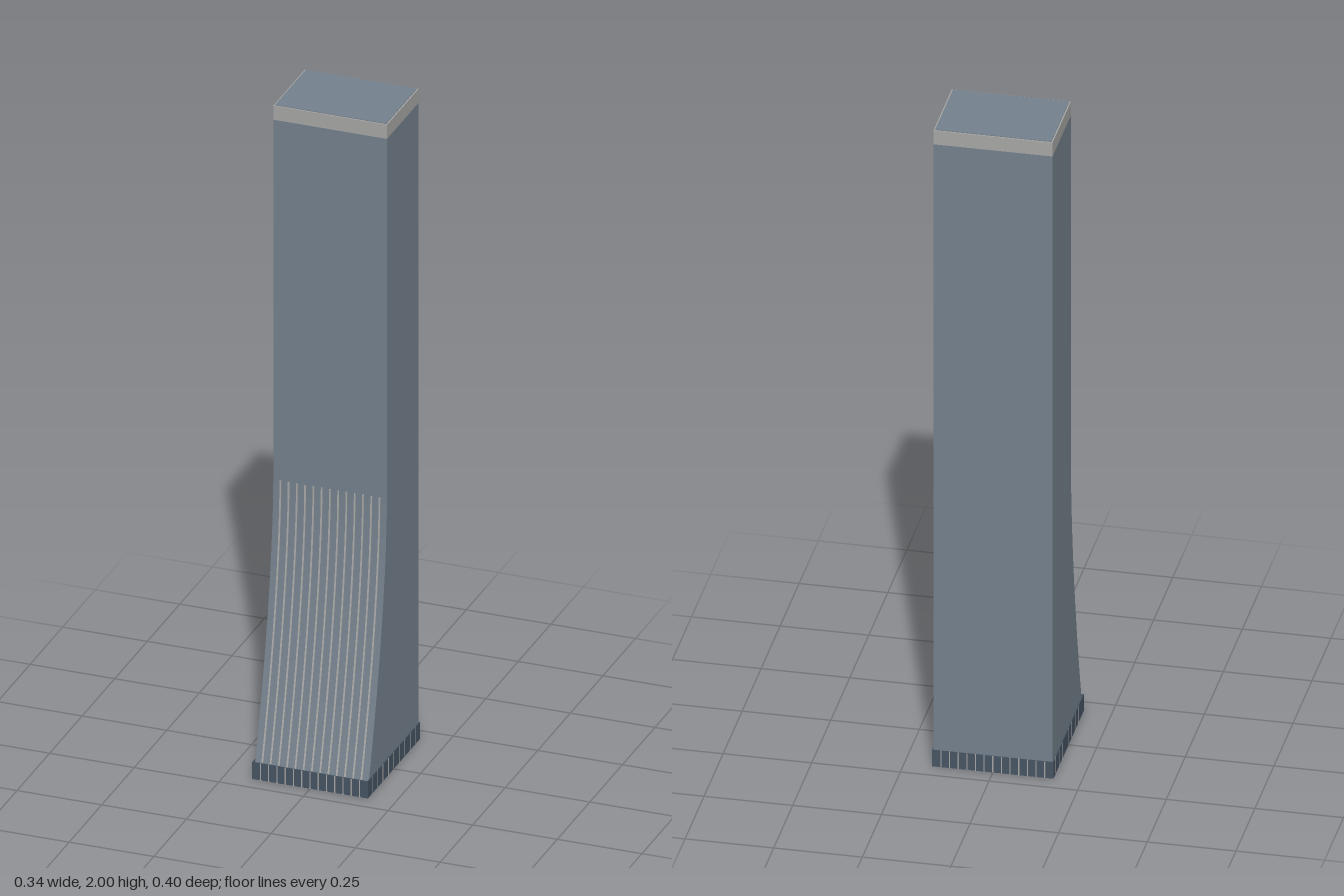
import * as THREE from 'three';

const mat = (name, color) =>
  new THREE.MeshStandardMaterial({ name, color, side: THREE.DoubleSide });

export function createModel() {
  const glass = mat('blue grey glass', 0x74808c);
  const metal = mat('light grey metal', 0xa6a6a4);
  const plinth = mat('dark blue plinth', 0x465463);

  const tower = new THREE.Group();
  tower.name = 'tower';
  const W = 0.168, BACK = -0.198, FRONT = 0.045, BEND = 0.85, CAP = 1.955;

  const add = (name, geometry, material, x = 0, y = 0, z = 0) => {
    const mesh = new THREE.Mesh(geometry, material);
    mesh.name = name;
    mesh.position.set(x, y, z);
    tower.add(mesh);
    return mesh;
  };

  // Front profile: upright above the bend, sweeping forward below it
  const frontZ = (y) => FRONT + 0.153 * Math.pow(Math.max(0, (BEND - y) / BEND), 1.65);
  const STEPS = 20;
  const sweep = [];
  for (let i = 0; i <= STEPS; i++) {
    const y = BEND * (1 - i / STEPS);
    sweep.push([frontZ(y), y]);
  }

  // Sheet spanning the width, following [z, y] points
  const sheet = (points) => {
    const g = new THREE.PlaneGeometry(2 * W, 1, 1, points.length - 1);
    const p = g.attributes.position;
    points.forEach(([z, y], i) => {
      p.setXYZ(2 * i, -W, y, z);
      p.setXYZ(2 * i + 1, W, y, z);
    });
    g.computeVertexNormals();
    return g;
  };
  add('upperFrontWall', sheet([[FRONT, CAP], [FRONT, BEND]]), glass);
  add('sweptFrontWall', sheet(sweep), glass);
  add('backWall', sheet([[BACK, 0], [BACK, CAP]]), glass);

  // Side walls; the tower is hollow and open underneath
  for (const s of [-1, 1]) {
    const outline = [[BACK, 0], [BACK, CAP], [FRONT, CAP], ...sweep]
      .map(([z, y]) => new THREE.Vector2(-s * z, y));
    const g = new THREE.ShapeGeometry(new THREE.Shape(outline));
    g.rotateY(s * Math.PI / 2);
    add(s > 0 ? 'leftWall' : 'rightWall', g, glass, s * W);
  }

  // Roof cap with an inset roof panel
  const depth = FRONT - BACK, midZ = (FRONT + BACK) / 2;
  add('roofCap', new THREE.BoxGeometry(2 * W, 2 - CAP - 0.002, depth), metal,
    0, (CAP + 1.998) / 2, midZ);
  add('roofPanel', new THREE.BoxGeometry(2 * W - 0.008, 0.002, depth - 0.008), glass,
    0, 1.999, midZ);

  // Thin vertical ribs following the sweep
  const ribOutline = [
    ...sweep.map(([z, y]) => new THREE.Vector2(z - 0.001, y)),
    ...sweep.slice().reverse().map(([z, y]) => new THREE.Vector2(z + 0.002, y)),
  ];
  const ribGeometry = new THREE.ExtrudeGeometry(new THREE.Shape(ribOutline),
    { depth: 0.005, bevelEnabled: false });
  ribGeometry.translate(0, 0, -0.0025).rotateY(-Math.PI / 2);
  const PITCH = 0.0244;
  for (let i = -6; i <= 6; i++) add('frontRib', ribGeometry, metal, i * PITCH);

  // Plinth band with slim mullions
  const H = 0.052, T = 0.003;
  const longBand = new THREE.BoxGeometry(2 * W + 2 * T, H, T);
  const sideBand = new THREE.BoxGeometry(T, H, 0.397);
  const mullion = new THREE.BoxGeometry(0.003, H, 0.001);
  const sideMullion = new THREE.BoxGeometry(0.001, H, 0.003);
  for (const s of [-1, 1]) {
    add('plinthBand', longBand, plinth, 0, H / 2, s * 0.198);
    add('plinthSideBand', sideBand, plinth, s * (W + T / 2), H / 2, 0);
    for (let i = -6; i <= 6; i++)
      add('plinthMullion', mullion, metal, i * PITCH, H / 2, s * 0.1997);
    for (let i = -4; i <= 4; i++)
      add('plinthSideMullion', sideMullion, metal, s * (W + T), H / 2, i * 0.042);
  }

  return tower;
}
